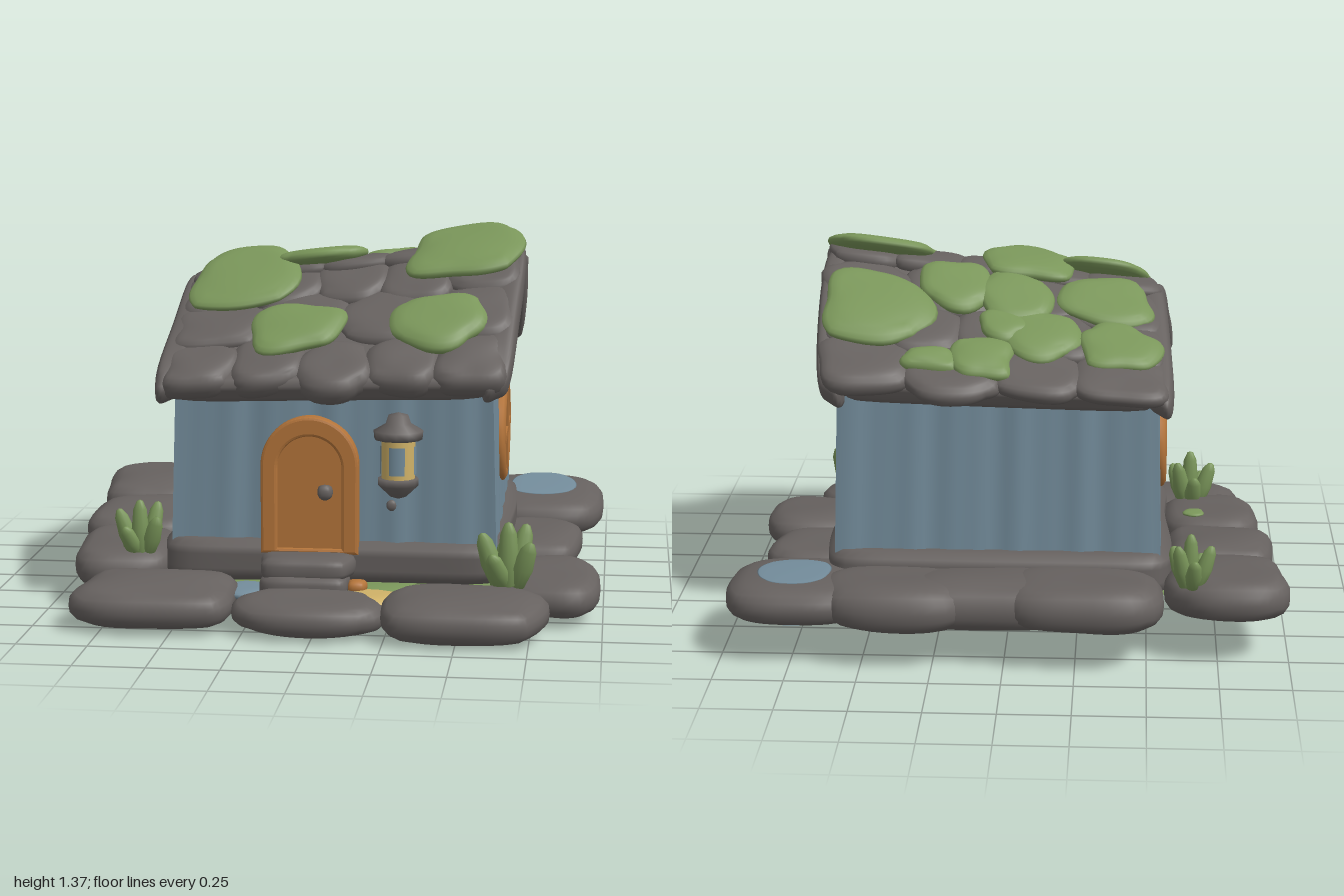
import * as THREE from 'three';
import { mergeVertices } from 'three/addons/utils/BufferGeometryUtils.js';

const mat = (name, color, extra = {}) => {
  const m = new THREE.MeshStandardMaterial({ color, ...extra });
  m.name = name;
  return m;
};

// Rounded, slightly irregular lump: a cube projected onto a superellipsoid
function lump(w, h, d, { n = 3.5, seed = 0, amp = 0.04, lobes = 0, seg = 12 } = {}) {
  let g = new THREE.BoxGeometry(2, 2, 2, seg, 6, seg);
  g.deleteAttribute('uv');
  g.deleteAttribute('normal');
  g = mergeVertices(g);
  const p = g.attributes.position;
  for (let i = 0; i < p.count; i++) {
    const x = p.getX(i), y = p.getY(i), z = p.getZ(i);
    const len = (Math.abs(x) ** n + Math.abs(y) ** n + Math.abs(z) ** n) ** (1 / n);
    const a = Math.atan2(z, x);
    const edge = Math.hypot(x, z) / len;
    const wave = 1 + amp * Math.sin(2.3 * x + 3.1 * z + seed * 2.7) + amp * 0.6 * Math.sin(4 * z - 3.3 * x + seed);
    const k = wave * (1 + lobes * edge * (Math.sin(3 * a + seed) + 0.6 * Math.sin(5 * a + seed * 1.7))) / len;
    p.setXYZ(i, x * k * w / 2, (y / len) * wave * h / 2, z * k * d / 2);
  }
  g.computeVertexNormals();
  return g;
}

// Roof surface: steeper front slope, longer back slope, ridge at z = 0.03
const RIDGE = 0.03, FRONT = 0.67, BACK = 0.5;
const roofY = z => 1.24 - (z > RIDGE ? FRONT * (z - RIDGE) : BACK * (RIDGE - z));
const roofAngle = z => (z > RIDGE ? Math.atan(FRONT) : -Math.atan(BACK));
// The crooked roof rises to one side, most at the ridge
const rise = (x, y) => 0.11 * x * THREE.MathUtils.clamp((y - 0.78) / 0.45, 0.2, 1);

function arch(w, h) {
  const s = new THREE.Shape(), r = w / 2;
  s.moveTo(-r, 0);
  s.lineTo(r, 0);
  s.lineTo(r, h - r);
  s.absarc(0, h - r, r, 0, Math.PI);
  s.closePath();
  return s;
}

export function createModel() {
  const root = new THREE.Group();
  root.name = 'stoneCottage';
  const stone = mat('stone grey', 0x66615f);
  const blue = mat('wall blue', 0x748d9c);
  const moss = mat('moss green', 0x7a965a);
  const wood = mat('wood orange', 0xb3743a);
  const glow = mat('lamp yellow', 0xd0b268, { side: THREE.DoubleSide });

  const add = (name, geo, material, x = 0, y = 0, z = 0, parent = root) => {
    const m = new THREE.Mesh(geo, material);
    m.name = name;
    m.position.set(x, y, z);
    parent.add(m);
    return m;
  };

  // Ring of paving stones: x0, x1, z0, z1, centre height, thickness
  [
    [-1.0, -0.57, -0.83, -0.36, 0.215, 0.17], [-0.97, -0.57, -0.37, 0.07, 0.18, 0.16],
    [-0.93, -0.56, 0.06, 0.52, 0.15, 0.16], [-0.86, -0.28, 0.47, 0.88, 0.09, 0.15],
    [-0.28, 0.24, 0.58, 0.89, 0.07, 0.12], [0.23, 0.81, 0.55, 0.94, 0.08, 0.15],
    [0.61, 0.99, 0.15, 0.6, 0.1, 0.14], [0.57, 0.91, -0.33, 0.11, 0.145, 0.13],
    [0.48, 0.99, -0.9, -0.37, 0.19, 0.16], [-0.56, 0.02, -0.94, -0.5, 0.21, 0.18],
    [-0.32, 0.42, -0.9, -0.48, 0.2, 0.18], [0.08, 0.66, -0.93, -0.5, 0.2, 0.18],
  ].forEach(([x0, x1, z0, z1, y, h], i) => {
    const g = lump(x1 - x0, h, z1 - z0, { n: 3, seed: i, amp: i === 8 ? 0 : 0.035 });
    add('pavingStone', g, stone, (x0 + x1) / 2, y, (z0 + z1) / 2).rotation.x = 0.08;
  });
  // Puddle patches above and below the back corner stone
  for (const y of [0.27, 0.114]) {
    const p = add('puddle', lump(0.26, 0.009, 0.32, { n: 2.2, lobes: 0.03, amp: 0.02 }), blue, 0.75, y, -0.65);
    p.rotation.x = 0.08;
  }

  // Mossy ground under the house
  for (let i = 0; i < 4; i++) for (let j = 0; j < 4; j++) {
    const x = -0.41 + i * 0.27 + (j % 2) * 0.05, z = -0.4 + j * 0.26;
    add('groundMoss', lump(0.34, 0.05, 0.33, { n: 2.2, seed: i * 3 + j * 5, lobes: 0.07 }), moss, x, 0.1 - 0.07 * z, z);
  }
  add('groundMoss', lump(0.18, 0.04, 0.14, { n: 2.3, lobes: 0.08 }), moss, 0.27, 0.05, 0.57);
  add('sandPatch', lump(0.24, 0.05, 0.2, { n: 2.3, lobes: 0.08, seed: 2 }), glow, 0.2, 0.09, 0.61);
  add('smallPuddle', lump(0.18, 0.04, 0.2, { n: 2.3, seed: 4 }), blue, -0.26, 0.1, 0.56);
  add('woodScrap', lump(0.07, 0.05, 0.08, { n: 2.5, seg: 6 }), wood, 0.13, 0.12, 0.54);
  add('stoneMoss', lump(0.08, 0.02, 0.08, { n: 2.2 }), moss, -0.68, 0.232, 0.17);

  // Foundation and door steps
  add('foundation', lump(1.23, 0.16, 1.11, { n: 12, amp: 0.012, seg: 24 }), stone, 0.035, 0.22, -0.06).rotation.x = 0.055;
  add('upperStep', lump(0.33, 0.09, 0.2, { n: 4, amp: 0.03 }), stone, -0.05, 0.19, 0.54);
  add('lowerStep', lump(0.31, 0.09, 0.18, { n: 4, amp: 0.03, seed: 3 }), stone, -0.05, 0.13, 0.57);

  // Gabled walls with gently fluted faces
  const wall = new THREE.BoxGeometry(1, 1, 1, 40, 1, 23);
  const wp = wall.attributes.position, wn = wall.attributes.normal;
  for (let i = 0; i < wp.count; i++) {
    const top = wp.getY(i) > 0;
    let z = -0.53 + (wp.getZ(i) + 0.5) * 0.99, x = 0.035 + wp.getX(i) * (top ? 1.13 : 1.17);
    const y = top ? roofY(z) - 0.06 + rise(x, roofY(z)) : 0.22;
    if (!top && z < -0.5) z -= 0.02;
    if (Math.abs(wn.getZ(i)) > 0.5 && Math.abs(wp.getX(i)) < 0.49) z += 0.004 * Math.sin(x * 31) + 0.003 * Math.sin(x * 53);
    if (Math.abs(wn.getX(i)) > 0.5 && Math.abs(wp.getZ(i)) < 0.49) x += 0.003 * Math.sin(z * 33);
    wp.setXYZ(i, x, y, z);
  }
  wall.computeVertexNormals();
  add('walls', wall, blue);

  // Roof pieces lie along the slope, then take on the crooked lean
  const roof = new THREE.Group();
  roof.name = 'roof';
  root.add(roof);
  const onRoof = (name, geo, material, x, z, lift, angle = roofAngle(z)) => {
    geo.rotateX(angle);
    geo.translate(x, roofY(z) + lift, z);
    const p = geo.attributes.position;
    for (let i = 0; i < p.count; i++) {
      const px = p.getX(i), py = p.getY(i);
      p.setXY(i, px + 0.1 * (py - 0.8), py + rise(px, py));
    }
    geo.computeVertexNormals();
    add(name, geo, material, 0, 0, 0, roof);
  };
  for (const [z, len] of [[0.295, 0.67], [-0.26, 0.67]]) {
    onRoof('roofSlab', lump(1.2, 0.1, len, { n: 10, amp: 0.008, seg: 20 }), stone, 0.035, z, -0.06);
    for (const x of [-0.545, 0.61])
      onRoof('gableBeam', lump(0.11, 0.13, len + 0.04, { n: 4, amp: 0.03, seed: z * 9 }), stone, x, z - 0.005, -0.06);
  }
  // Overlapping stone shingles
  [0.49, 0.31, 0.14, -0.5, -0.32, -0.14].forEach((z, r) => {
    const count = r % 2 ? 4 : 5;
    for (let i = 0; i < count; i++) {
      const w = 1.2 / count, x = 0.035 - 0.6 + w * (i + 0.5);
      const g = lump(w * 1.14, r ? 0.085 : 0.12, 0.27, { n: 2.9, seed: r * 7 + i * 2, amp: 0.05, seg: 10 });
      const a = roofAngle(z);
      onRoof('shingle', g, stone, x, z + 0.015 * Math.sin(i * 4 + r), r ? -0.015 : -0.04, a - Math.sign(a) * 0.06);
    }
  });
  for (let i = 0; i < 5; i++) {
    const g = lump(0.28, 0.07, 0.2, { n: 3, seed: i, amp: 0.04, seg: 10 });
    onRoof('ridgeStone', g, stone, -0.44 + i * 0.235, RIDGE, -0.03, 0);
  }
  // Moss cushions: x, z, width, depth, lift; they level out towards the ridge
  [
    [-0.36, 0.16, 0.4, 0.4, 0.05], [-0.38, -0.15, 0.34, 0.28, 0.025], [-0.42, -0.38, 0.29, 0.26, 0.025],
    [-0.14, -0.35, 0.28, 0.28, 0.025], [0.07, -0.48, 0.23, 0.22, 0.025], [0.25, -0.5, 0.21, 0.12, 0.02],
    [-0.05, -0.18, 0.27, 0.28, 0.03], [0.16, -0.15, 0.27, 0.26, 0.03], [-0.1, 0.03, 0.34, 0.26, 0.01],
    [0.45, -0.29, 0.4, 0.38, 0.03], [0.44, 0.09, 0.42, 0.4, 0.03], [-0.13, 0.39, 0.34, 0.27, 0.03],
    [0.38, 0.39, 0.34, 0.27, 0.03], [-0.01, -0.33, 0.18, 0.16, 0.03],
  ].forEach(([x, z, w, d, lift], i) => {
    const tilt = roofAngle(z) * Math.min(0.95, 0.35 + Math.abs(z - RIDGE) / 0.25);
    onRoof('roofMoss', lump(w, 0.07, d, { n: 2.4, seed: i * 1.9, lobes: 0.06 }), moss, x, z, lift, tilt);
  });

  // Arched door with frame and knob
  const door = new THREE.Group();
  door.name = 'door';
  door.position.set(-0.045, 0.235, 0.445);
  root.add(door);
  const frame = arch(0.33, 0.475), hole = arch(0.25, 0.425);
  frame.holes.push(new THREE.Path(hole.getPoints(16)));
  add('doorFrame', new THREE.ExtrudeGeometry(frame, { depth: 0.055, bevelSize: 0.01, bevelThickness: 0.01, bevelSegments: 2, curveSegments: 16 }), wood, 0, 0, 0, door);
  add('doorPanel', new THREE.ExtrudeGeometry(arch(0.27, 0.435), { depth: 0.055, bevelEnabled: false, curveSegments: 16 }), wood, 0, 0, 0, door);
  add('doorKnob', lump(0.055, 0.055, 0.05, { n: 2.3, seg: 6 }), stone, 0.058, 0.22, 0.08, door);

  // Oval windows on both gable ends
  for (const side of [1, -1]) {
    const win = new THREE.Group();
    win.name = side > 0 ? 'leftWindow' : 'rightWindow';
    win.position.set(side > 0 ? 0.61 : -0.542, 0.6, -0.01);
    win.rotation.y = side * Math.PI / 2;
    win.scale.set(1.2, 0.97, 1);
    root.add(win);
    add('windowFrame', new THREE.TorusGeometry(0.165, 0.032, 10, 32).scale(1, 1, 0.85), wood, 0, 0, 0, win);
    const back = add('windowBack', new THREE.CylinderGeometry(0.165, 0.165, 0.03, 32), wood, 0, 0, 0, win);
    back.rotation.x = Math.PI / 2;
    for (let q = 0; q < 4; q++) {
      const r = q === 1 ? 0.06 : q === 2 ? 0.09 : 0.135;
      add('windowPane', new THREE.CircleGeometry(r, 10, q * Math.PI / 2, Math.PI / 2), glow, q % 3 ? -0.012 : 0.012, q < 2 ? 0.012 : -0.012, 0.018, win);
    }
    for (const [w, h] of [[0.032, 0.32], [0.32, 0.032]])
      add('windowBar', new THREE.BoxGeometry(w, h, 0.03), wood, 0, 0, 0.012, win).rotation.z = 0.04;
  }

  // Hanging lantern with four curved panes
  const lantern = new THREE.Group();
  lantern.name = 'lantern';
  lantern.position.set(0.275, 0.44, 0.535);
  root.add(lantern);
  const lathe = pts => new THREE.LatheGeometry(pts.map(p => new THREE.Vector2(...p)), 12);
  add('lanternBase', lathe([[0, 0], [0.03, 0.01], [0.072, 0.05], [0.072, 0.075], [0, 0.08]]), stone, 0, 0, 0, lantern);
  add('lanternCap', lathe([[0, 0.21], [0.085, 0.215], [0.088, 0.245], [0.045, 0.27], [0.035, 0.3], [0, 0.31]]), stone, 0, 0, 0, lantern);
  add('lanternLight', new THREE.CylinderGeometry(0.06, 0.06, 0.15, 16), glow, 0, 0.145, 0, lantern);
  for (let i = 0; i < 4; i++)
    add('lanternPane', new THREE.CylinderGeometry(0.064, 0.064, 0.1, 6, 1, true, i * Math.PI / 2 - 0.45, 0.9), blue, 0, 0.142, 0, lantern);
  add('lanternBracket', new THREE.BoxGeometry(0.03, 0.04, 0.1), stone, 0, 0.26, -0.06, lantern);
  add('wallPebble', lump(0.04, 0.04, 0.03, { n: 2.2, seg: 6 }), stone, 0.245, 0.4, 0.46);

  // Grass tufts with splayed tapering blades
  const blade = lathe([[0, 0], [0.025, 0.01], [0.034, 0.09], [0.026, 0.17], [0.012, 0.2], [0, 0.205]]);
  for (const [x, y, z, s] of [[-0.67, 0.19, 0.41, 0.95], [0.67, 0.15, 0.6, 1.1], [-0.65, 0.28, -0.76, 0.85]]) {
    const tuft = new THREE.Group();
    tuft.name = 'grassTuft';
    tuft.position.set(x, y, z);
    tuft.scale.setScalar(s);
    root.add(tuft);
    for (let i = 0; i < 6; i++) {
      const a = i * 2.4, t = i ? 0.2 + 0.06 * i : 0;
      const b = add('grassBlade', blade, moss, Math.sin(a) * 0.03, 0, Math.cos(a) * 0.03, tuft);
      b.rotation.set(t * Math.cos(a), 0, -t * Math.sin(a));
      b.scale.set(1, 1.05 - i * 0.08, 0.8);
    }
  }
  return root;
}
